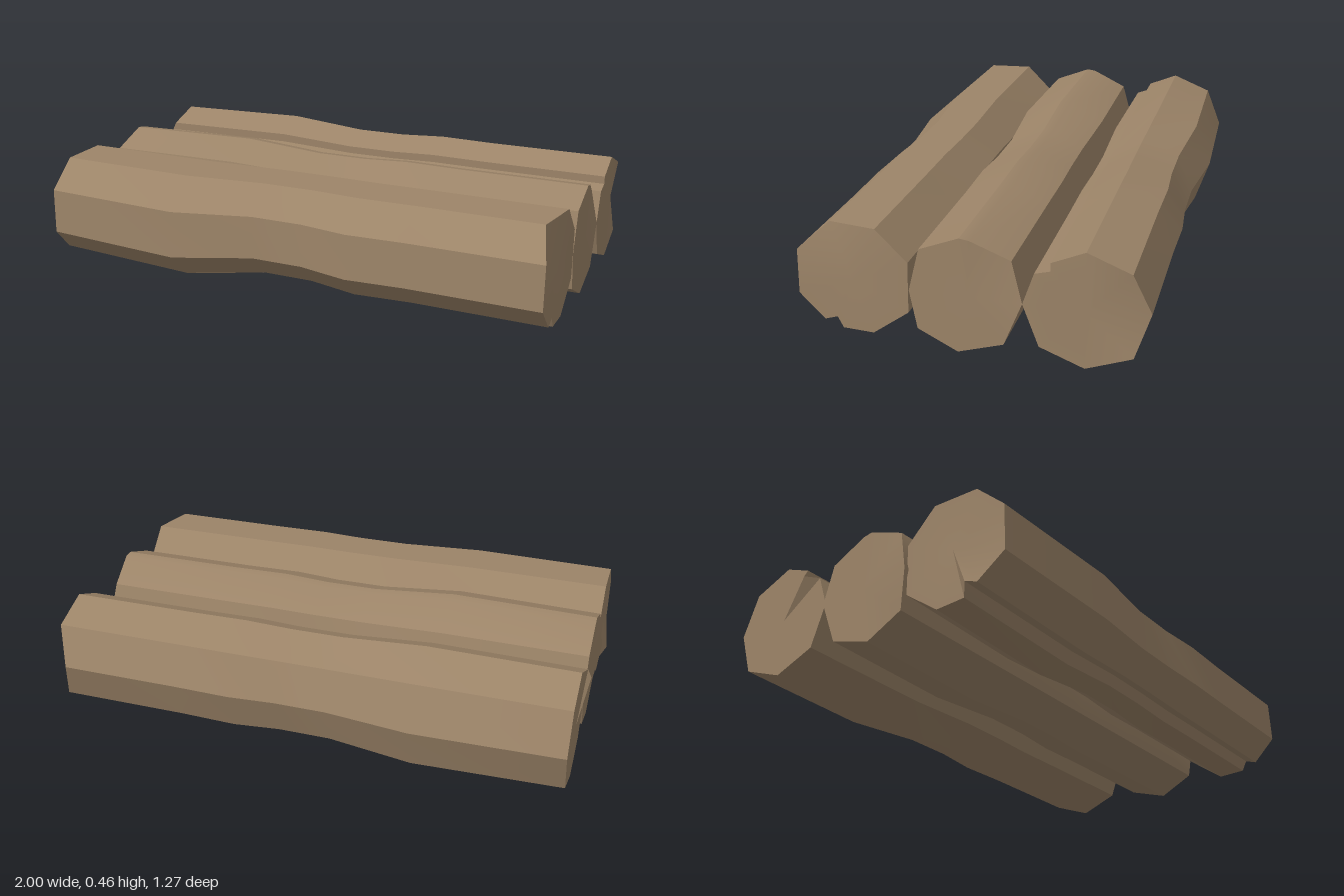
import * as THREE from 'three';
import { toCreasedNormals } from 'three/addons/utils/BufferGeometryUtils.js';

// Stations along each log: [x, girth]
const STATIONS = [[-0.975, 1.04], [-0.42, 1.09], [-0.1, 0.97], [0.1, 0.97], [0.28, 1.015], [0.5, 1], [0.995, 1]];

// Each section runs [z, y] from the top towards +z; girth scales it about the pivot.
// chips: corner index -> x shift at the left (+x) or right (-x) end.
const LOGS = [
  {
    name: 'frontLog', pivot: [0.2, 0.44], centre: [0.4, 0.24],
    section: [[0.31, 0.44], [0.485, 0.435], [0.595, 0.335], [0.6, 0.17], [0.51, 0.08], [0.465, 0.095],
      [0.445, 0.055], [0.335, 0.05], [0.205, 0.145], [0.2, 0.33]],
    chipsPlusX: { 1: -0.035 }, chipsMinusX: { 4: -0.02, 5: -0.025 },
  },
  {
    name: 'middleLog', pivot: [0, 0.23], centre: [0, 0.23],
    section: [[0.02, 0.44], [0.16, 0.385], [0.2, 0.23], [0.175, 0.09], [0.035, 0.02], [-0.125, 0.07],
      [-0.19, 0.23], [-0.15, 0.37], [-0.015, 0.435]],
    chipsPlusX: { 7: -0.02 }, chipsMinusX: { 2: -0.02 },
  },
  {
    name: 'backLog', pivot: [-0.3, 0.23], centre: [-0.4, 0.23],
    section: [[-0.4, 0.44], [-0.285, 0.39], [-0.285, 0.36], [-0.23, 0.345], [-0.19, 0.23], [-0.245, 0.08],
      [-0.4, 0.02], [-0.56, 0.08], [-0.61, 0.23], [-0.55, 0.38]],
    chipsPlusX: { 8: -0.035 }, chipsMinusX: { 1: -0.01, 2: -0.025 },
  },
];

function logGeometry({ section, pivot, centre, chipsPlusX, chipsMinusX }) {
  const n = section.length, last = STATIONS.length - 1;
  const positions = [], index = [];
  STATIONS.forEach(([x, girth], i) => section.forEach(([z, y], j) => {
    const chip = i === 0 ? chipsMinusX[j] : i === last ? chipsPlusX[j] : 0;
    positions.push(x + (chip || 0), pivot[1] + (y - pivot[1]) * girth, pivot[0] + (z - pivot[0]) * girth);
  }));
  // End centres for the cut faces
  const minusCentre = positions.length / 3, plusCentre = minusCentre + 1;
  positions.push(STATIONS[0][0], centre[1], centre[0], STATIONS[last][0], centre[1], centre[0]);

  for (let j = 0; j < n; j++) {
    const k = (j + 1) % n;
    // Bark
    for (let i = 0; i < last; i++) {
      const a = i * n + j, b = i * n + k;
      index.push(a, b, b + n, a, b + n, a + n);
    }
    // Cut ends
    index.push(minusCentre, k, j, plusCentre, last * n + j, last * n + k);
  }
  const geometry = new THREE.BufferGeometry();
  geometry.setAttribute('position', new THREE.Float32BufferAttribute(positions, 3));
  geometry.setIndex(index);
  return toCreasedNormals(geometry, 0.45);
}

export function createModel() {
  const model = new THREE.Group();
  model.name = 'logRow';
  const wood = new THREE.MeshStandardMaterial({ color: 0x9c8468 });
  for (const log of LOGS) {
    const mesh = new THREE.Mesh(logGeometry(log), wood);
    mesh.name = log.name;
    model.add(mesh);
  }
  return model;
}
